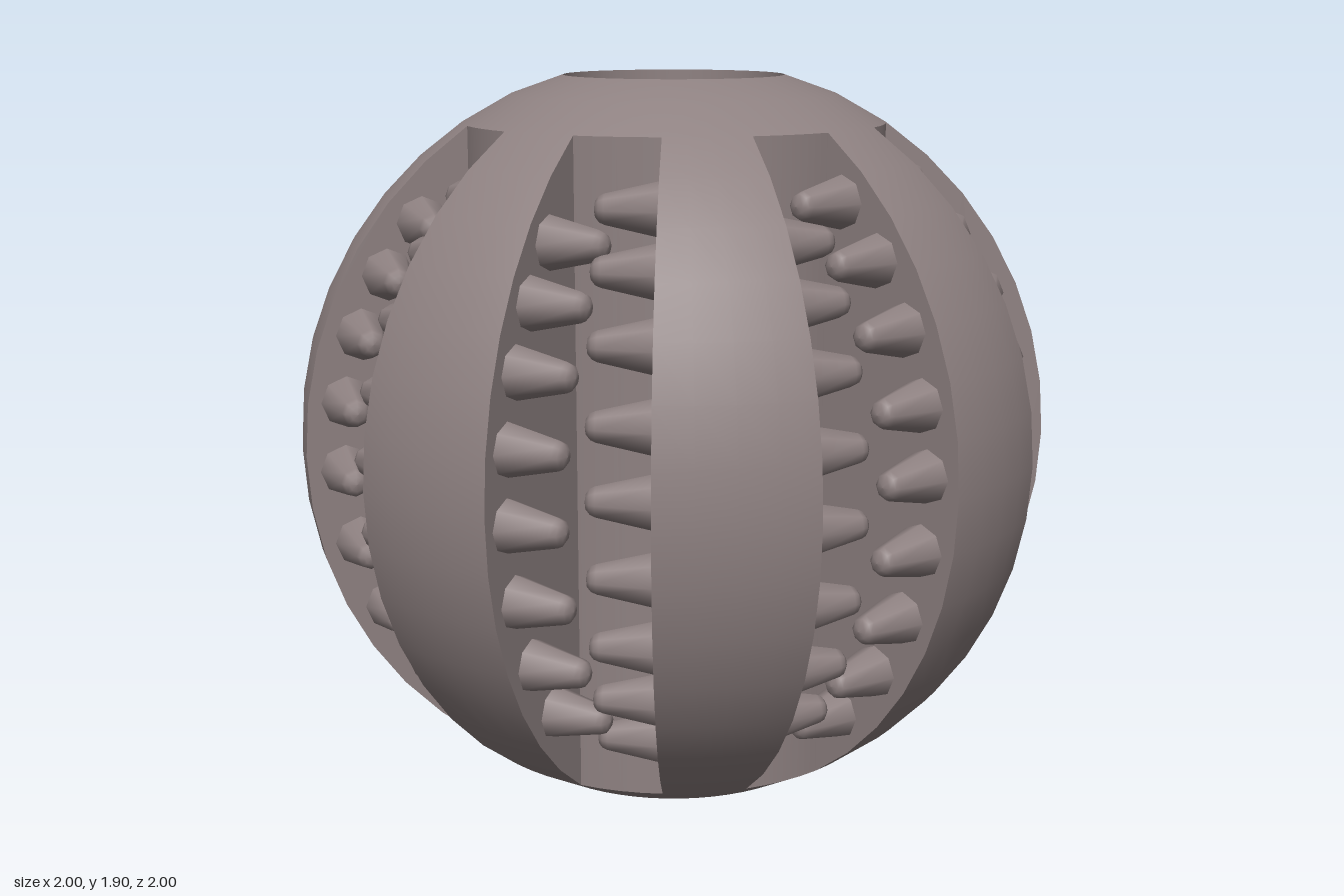
import * as THREE from 'three';

const R = 1;             // ball radius
const HOLE = 0.29;       // bore radius
const CENTER = 0.952;    // half height, so the ball stands on its flat bottom
const CORE = 0.557;      // radius of the groove floor
const RIBS = 8;
const HALF = Math.PI / RIBS / 2; // half the angle of a rib
// Latitudes in degrees of the staggered teeth on the two sides of a rib
const LEFT_ROW = [41, 30.8, 20.2, 8.8, -2.7, -15.3, -27.8, -40];
const RIGHT_ROW = [47.8, 36.6, 25, 13.3, 2.4, -9.6, -21.8, -33.6, -45.8];

export function createModel() {
  const root = new THREE.Group();
  root.name = 'groovedBall';
  const ball = new THREE.Group();
  ball.name = 'ball';
  ball.position.y = CENTER;
  root.add(ball);

  const color = 0x8e8181;
  const solid = new THREE.MeshStandardMaterial({ color });
  const sheet = new THREE.MeshStandardMaterial({ color, side: THREE.DoubleSide });

  const add = (parent, name, geometry, material = solid) => {
    const mesh = new THREE.Mesh(geometry, material);
    mesh.name = name;
    parent.add(mesh);
    return mesh;
  };
  const points = (list) => list.map(([x, y]) => new THREE.Vector2(x, y));

  // Turned patch of the ball with true spherical normals
  const spherePatch = (profile, segments, start, length) => {
    const g = new THREE.LatheGeometry(profile, segments, start, length);
    const p = g.attributes.position;
    const v = new THREE.Vector3();
    for (let i = 0; i < p.count; i++) {
      v.fromBufferAttribute(p, i).normalize();
      g.attributes.normal.setXYZ(i, v.x, v.y, v.z);
    }
    return g;
  };

  // Outline of a rib from bottom to top
  const latCore = Math.acos(CORE / R);
  const hCore = R * Math.sin(latCore);
  const ribProfile = Array.from({ length: 15 }, (_, i) => {
    const t = latCore * (i / 7 - 1);
    return new THREE.Vector2(R * Math.cos(t), R * Math.sin(t));
  });

  // End caps and the bore through the middle
  const cap = [[CORE, hCore], [0.429, 0.903], [HOLE, CENTER]];
  add(ball, 'topCap', spherePatch(points(cap), 64));
  add(ball, 'bottomCap', spherePatch(points(cap.map(([x, y]) => [x, -y]).reverse()), 64));
  add(ball, 'bore', new THREE.LatheGeometry(points([[HOLE, CENTER], [HOLE, -CENTER]]), 64));

  // Shared parts: rib side wall and a blunt rounded tooth
  const wallGeometry = new THREE.ShapeGeometry(new THREE.Shape(ribProfile));
  const toothGeometry = new THREE.LatheGeometry(points([
    [0.068, -0.005], [0.037, 0.132], [0.031, 0.145], [0.019, 0.154], [0, 0.157],
  ]), 8);

  const addSide = (parent, angle, side, row) => {
    const wall = new THREE.Group();
    wall.name = side > 0 ? 'leftRibSide' : 'rightRibSide';
    wall.rotation.y = angle + side * HALF - Math.PI / 2;
    parent.add(wall);
    add(wall, 'ribWall', wallGeometry, sheet);
    for (const degrees of row) {
      const lat = THREE.MathUtils.degToRad(degrees);
      const tooth = add(wall, 'tooth', toothGeometry);
      tooth.position.set(0.9 * Math.cos(lat), 0.9 * Math.sin(lat), 0);
      tooth.rotation.x = -side * Math.PI / 2;
    }
  };

  for (let i = 0; i < RIBS; i++) {
    const angle = i * Math.PI * 2 / RIBS;
    const rib = new THREE.Group();
    rib.name = 'rib';
    ball.add(rib);
    add(rib, 'ribFace', spherePatch(ribProfile, 4, angle - HALF, HALF * 2));
    addSide(rib, angle, 1, LEFT_ROW);
    addSide(rib, angle, -1, RIGHT_ROW);
    // Floor of the groove beside this rib
    add(ball, 'grooveFloor', new THREE.LatheGeometry(
      points([[CORE, -hCore], [CORE, hCore]]), 4, angle + HALF, HALF * 2));
  }
  return root;
}
